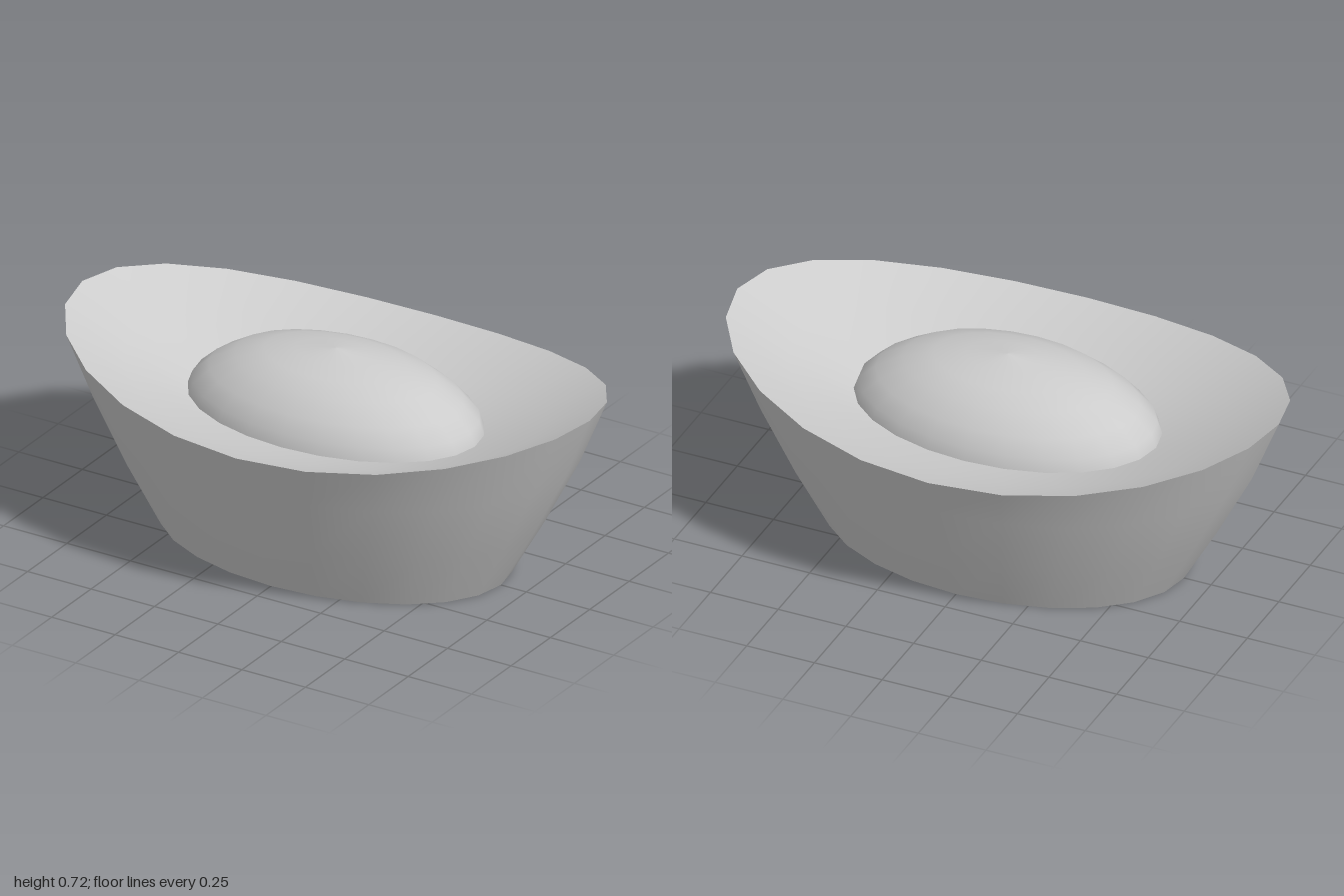
import * as THREE from 'three';

const SIDES = 24;

// Smooth skin through stacked elliptical rings [radiusX, radiusZ, y at the sides, extra height at the ends].
// Rings run bottom to top for outward faces, or outside to inside for upward faces.
function loft(name, rings, material) {
  const positions = [];
  const index = [];
  const row = SIDES;
  for (const [rx, rz, y, lift] of rings) {
    for (let i = 0; i < SIDES; i++) {
      const a = (i / SIDES) * Math.PI * 2;
      positions.push(rx * Math.cos(a), y + lift * Math.cos(a) ** 2, rz * Math.sin(a));
    }
  }
  for (let j = 0; j < rings.length - 1; j++) {
    for (let i = 0; i < SIDES; i++) {
      const a = j * row + i;
      const b = j * row + ((i + 1) % SIDES);
      index.push(a, a + row, b, b, a + row, b + row);
    }
  }
  const geometry = new THREE.BufferGeometry();
  geometry.setAttribute('position', new THREE.Float32BufferAttribute(positions, 3));
  geometry.setIndex(index);
  geometry.computeVertexNormals();
  const mesh = new THREE.Mesh(geometry, material);
  mesh.name = name;
  return mesh;
}

export function createModel() {
  const group = new THREE.Group();
  group.name = 'ingot';
  const material = new THREE.MeshStandardMaterial({ color: 0xcccccc });
  const base = [0.65, 0.413, 0, 0];
  const rim = [1, 0.635, 0.57, 0.135];
  const domeEdge = [0.547, 0.346, 0.49, 0];

  // Flared outer wall, its rim rising toward both ends
  group.add(loft('outerWall', [
    base,
    [0.77, 0.505, 0.21, 0],
    [0.9, 0.575, 0.42, 0.04],
    rim,
  ], material));

  // Shallow dish from the rim down to the dome
  group.add(loft('dish', [
    rim,
    [0.78, 0.495, 0.525, 0.055],
    domeEdge,
  ], material));

  // Rounded dome in the middle
  group.add(loft('dome', [
    domeEdge,
    [0.53, 0.335, 0.535, 0],
    [0.47, 0.297, 0.59, 0],
    [0.374, 0.237, 0.647, 0],
    [0.265, 0.168, 0.68, 0],
    [0.15, 0.095, 0.7, 0],
    [0.0005, 0.0003, 0.717, 0],
  ], material));

  // Flat underside
  const bottom = new THREE.Mesh(new THREE.CircleGeometry(1, SIDES), material);
  bottom.name = 'underside';
  bottom.rotation.x = Math.PI / 2;
  bottom.scale.set(base[0], base[1], 1);
  group.add(bottom);

  return group;
}
